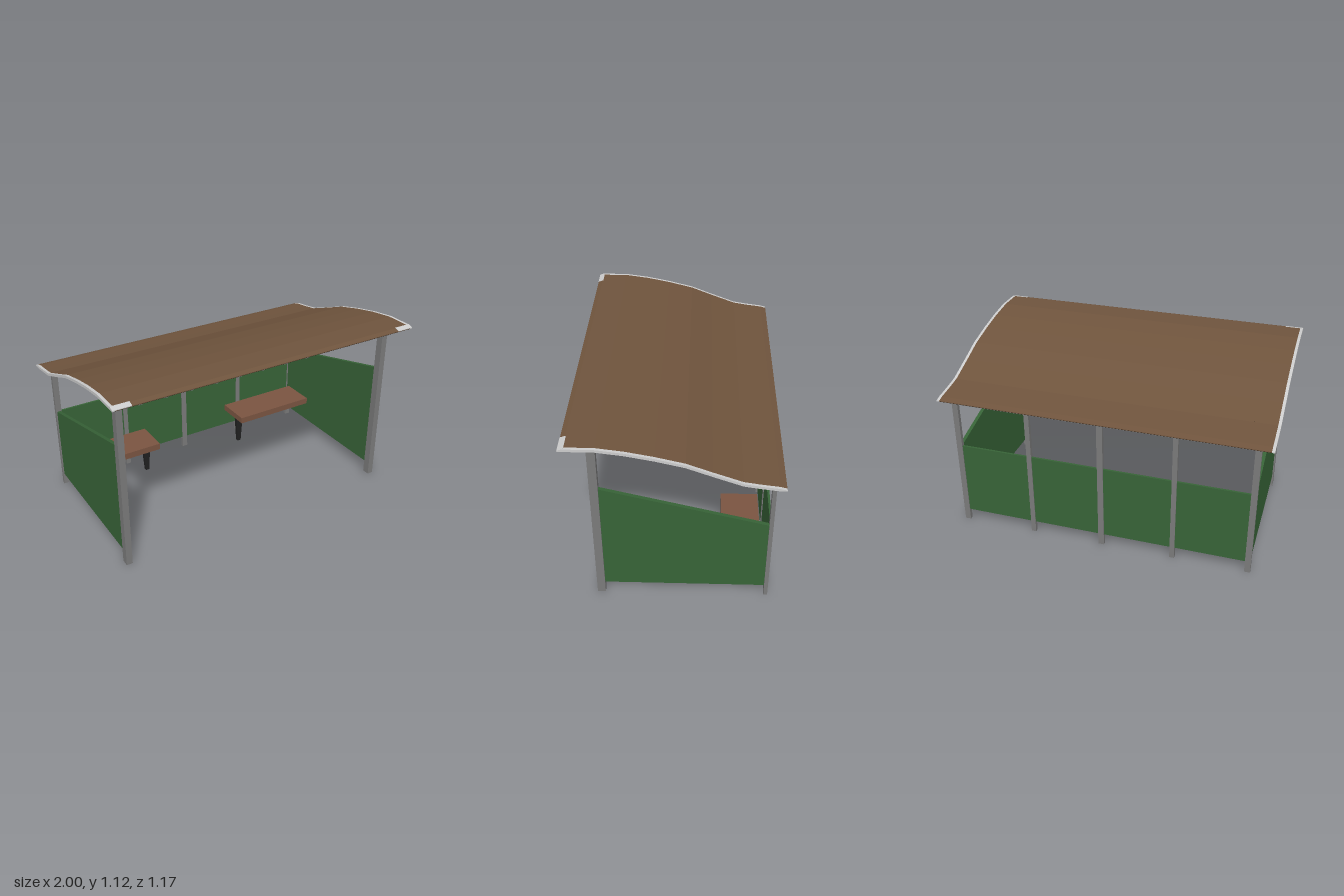
import * as THREE from 'three';

const mat = (color) => new THREE.MeshStandardMaterial({ color, flatShading: true });

export function createModel() {
  const root = new THREE.Group();
  root.name = 'shelter';
  const trim = mat(0xcccccc), steel = mat(0x7a7a7a), green = mat(0x376337);
  const brown = mat(0x6f543d), wood = mat(0x7a5441), dark = mat(0x2f231a), black = mat(0x212121);

  const add = (name, geometry, material, x = 0, y = 0, z = 0) => {
    const mesh = new THREE.Mesh(geometry, material);
    mesh.name = name;
    mesh.position.set(x, y, z);
    root.add(mesh);
    return mesh;
  };
  // box given by its extents
  const box = (name, material, x0, x1, y0, y1, z0, z1) =>
    add(name, new THREE.BoxGeometry(x1 - x0, y1 - y0, z1 - z0), material,
      (x0 + x1) / 2, (y0 + y1) / 2, (z0 + z1) / 2);
  // side profile of [z, y] points, extruded along x and centred on x
  const slab = (name, material, points, width, x = 0) => {
    const shape = new THREE.Shape(points.map(([z, y]) => new THREE.Vector2(z, y)));
    const g = new THREE.ExtrudeGeometry(shape, { depth: width, bevelEnabled: false });
    g.translate(0, 0, -width / 2);
    g.rotateY(-Math.PI / 2);
    return add(name, g, material, x);
  };

  // curved roof: brown sheet, dark lining and pale end trims
  const curve = [[0.587, 1.11], [0.56, 1.12], [0.4, 1.12], [0.25, 1.1], [0.1, 1.07], [-0.06, 1.03],
    [-0.2, 0.975], [-0.36, 0.915], [-0.45, 0.9], [-0.55, 0.887], [-0.587, 0.877]];
  const lower = (d) => curve.map(([z, y], i) =>
    [z, y - (i === 0 || i === curve.length - 1 ? d * 0.35 : d)]);
  const band = (a, b) => [...a, ...b.slice().reverse()];
  slab('roofSheet', brown, band(curve, lower(0.012)), 1.966);
  slab('roofLining', dark, band(lower(0.012), lower(0.016)), 1.966);
  for (const s of [-1, 1]) {
    slab('roofEndTrim', trim, band(curve, lower(0.016)), 0.017, s * 0.9915);
    slab('roofCornerCap', trim, [[0.588, 1.108], [0.588, 1.112], [0.56, 1.122], [0.555, 1.122], [0.555, 1.106]],
      0.11, s * 0.945);
  }

  // flat ceiling filling the hollow under the curve
  slab('ceiling', dark, [...lower(0.014).slice(1, -1), [-0.55, 0.862], [0.56, 1.1]], 1.7);

  // sloping rafters resting on the rear beam
  for (let i = 0; i < 12; i++) {
    slab('rafter', steel, [[0.56, 1.085], [0.56, 1.103], [-0.54, 0.865], [-0.54, 0.845]],
      0.02, (i - 5.5) * 0.151);
  }
  box('rearBeam', steel, -0.925, 0.925, 0.843, 0.866, -0.543, -0.52);

  // posts
  for (const s of [-1, 1]) {
    box('frontPost', steel, s * 0.91 - 0.019, s * 0.91 + 0.019, 0, 1.1, 0.408, 0.455);
  }
  for (const x of [-0.91, -0.45, 0, 0.45, 0.91]) {
    const h = Math.abs(x) > 0.8 || x === 0 ? 0.018 : 0.015;
    box('rearPost', steel, x - h, x + h, 0, 0.87, -0.543, -0.52);
  }

  // wall panels
  box('rearPanel', green, -0.9, 0.9, 0.075, 0.55, -0.538, -0.525);
  for (const s of [-1, 1]) {
    slab('sidePanel', green, [[0.41, 0.075], [0.41, 0.79], [-0.522, 0.55], [-0.522, 0.075]], 0.022, s * 0.91);
  }

  // benches, each with one tapered leg
  for (const s of [-1, 1]) {
    const x = s * 0.6125;
    box('benchSeat', wood, x - 0.2875, x + 0.2875, 0.21, 0.252, -0.5, -0.27);
    const g = new THREE.BoxGeometry(0.052, 0.21, 0.03);
    const p = g.attributes.position;
    for (let i = 0; i < p.count; i++) {
      if (p.getY(i) < 0) p.setXYZ(i, p.getX(i) * 0.5, p.getY(i), p.getZ(i) * 0.7);
    }
    g.computeVertexNormals();
    add('benchLeg', g, black, s * 0.375, 0.105, -0.388);
  }
  return root;
}
